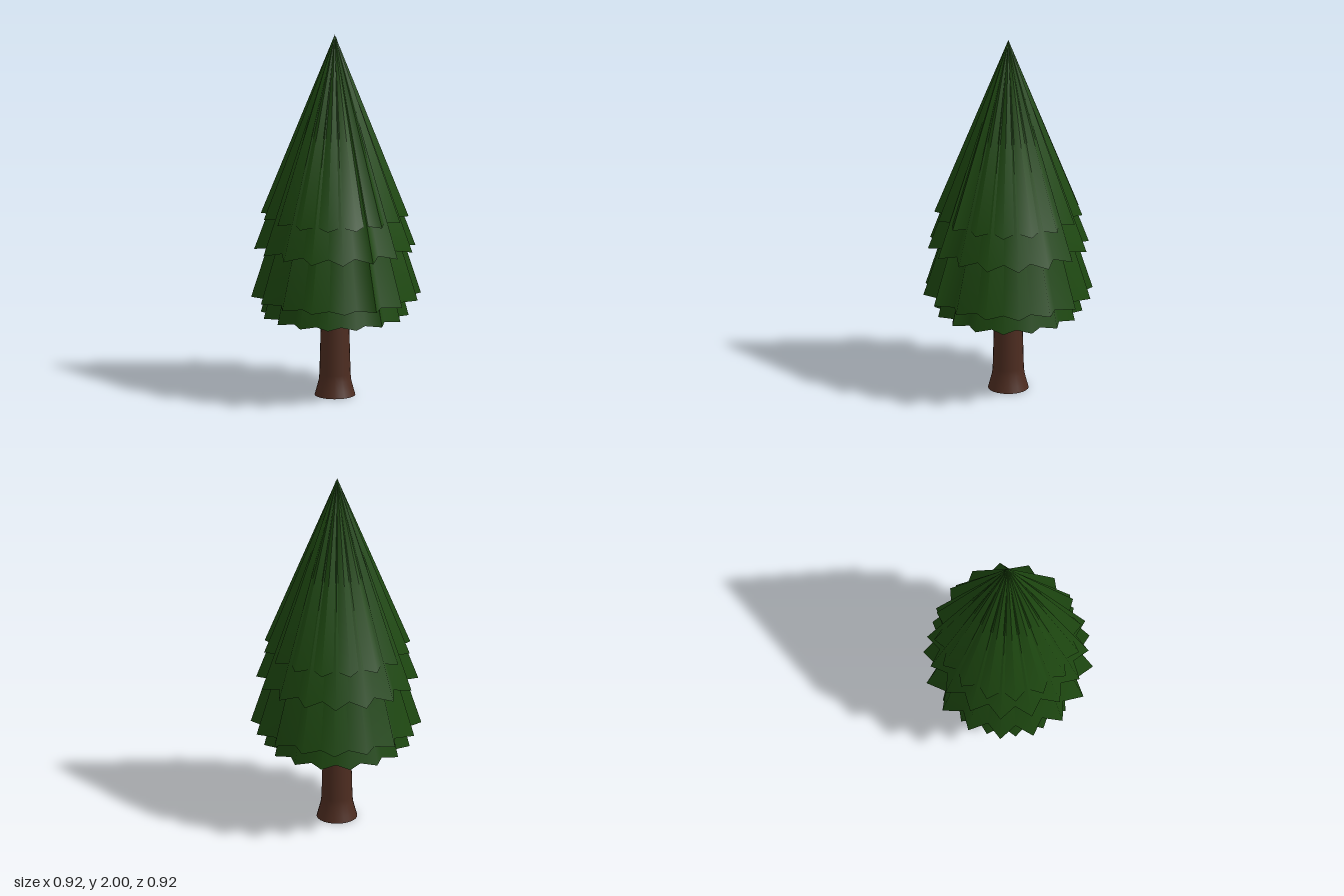
import * as THREE from 'three';

const POINTS = 16;

// Open cone whose rim zigzags between long tips and short notches
function starCone({ apexY, rimY, tipR, notchR, lift, turn }) {
  const geo = new THREE.ConeGeometry(1, 1, POINTS * 2, 1, true);
  const pos = geo.attributes.position;
  const cols = POINTS * 2 + 1;
  for (let i = 0; i < pos.count; i++) {
    const col = i % cols;
    if (i < cols) {
      pos.setXYZ(i, 0, apexY, 0);
      continue;
    }
    const a = (col / (POINTS * 2)) * Math.PI * 2 + turn;
    const tip = col % 2 === 0;
    const r = tip ? tipR : notchR;
    pos.setXYZ(i, Math.sin(a) * r, tip ? rimY : rimY + lift, Math.cos(a) * r);
  }
  geo.computeVertexNormals();
  return geo;
}

export function createModel() {
  const tree = new THREE.Group();
  tree.name = 'pineTree';
  const leaf = new THREE.MeshStandardMaterial({ color: 0x1d4710, side: THREE.DoubleSide });
  const bark = new THREE.MeshStandardMaterial({ color: 0x4d2c20, side: THREE.DoubleSide });

  // Foliage tiers, top to bottom, nested under a shared apex
  const half = Math.PI / POINTS;
  const tiers = [
    { name: 'topBranches', rimY: 1.0, tipR: 0.4, notchR: 0.345, lift: 0.012, turn: half, shift: -0.005 },
    { name: 'upperBranches', rimY: 0.82, tipR: 0.437, notchR: 0.37, lift: 0.02, turn: 0, shift: -0.005 },
    { name: 'middleBranches', rimY: 0.555, tipR: 0.46, notchR: 0.383, lift: 0, turn: 0, shift: 0 },
    { name: 'lowerBranches', rimY: 0.45, tipR: 0.4, notchR: 0.345, lift: 0.006, turn: half, shift: -0.005 },
  ];
  tiers.forEach(({ name, shift, ...t }, i) => {
    const mesh = new THREE.Mesh(starCone({ apexY: 2 - i * 0.006, ...t }), leaf);
    mesh.name = name;
    mesh.position.set(shift, 0, shift);
    tree.add(mesh);
  });

  // Trunk with a flared foot, running up inside the foliage
  const profile = [
    [0, 0], [0.11, 0], [0.11, 0], [0.1, 0.035], [0.087, 0.085], [0.084, 0.12], [0.075, 0.45], [0.068, 0.75], [0, 0.75],
  ].map(([r, y]) => new THREE.Vector2(r, y));
  const trunk = new THREE.Mesh(new THREE.LatheGeometry(profile, 24), bark);
  trunk.name = 'trunk';
  trunk.position.set(-0.004, 0, -0.004);
  tree.add(trunk);

  return tree;
}
